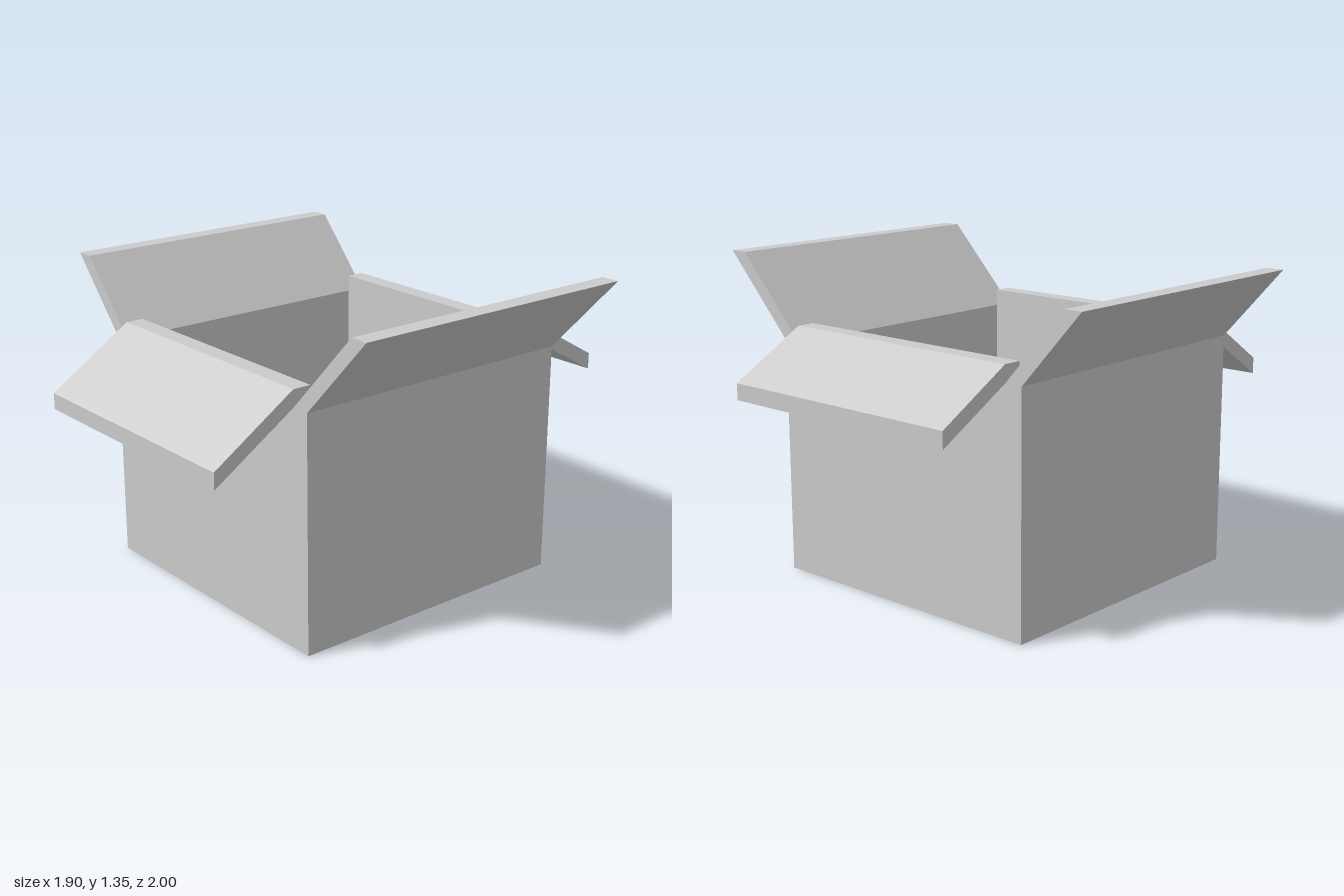
import * as THREE from 'three';

const material = new THREE.MeshStandardMaterial({ color: 0xcccccc, flatShading: true });

// Outer and inner limits of the box
const X0 = -0.68, X1 = 0.62, Z0 = -0.67, Z1 = 0.635;
const T = 0.08, H = 1;

const outline = (points) => points.map(([x, y]) => new THREE.Vector2(x, y));
const rect = (x0, y0, x1, y1) => outline([[x0, y0], [x1, y0], [x1, y1], [x0, y1]]);
const extrude = (shape, depth) => new THREE.ExtrudeGeometry(shape, { depth, bevelEnabled: false });

export function createModel() {
  const model = new THREE.Group();
  const add = (name, geometry) => {
    const mesh = new THREE.Mesh(geometry, material);
    mesh.name = name;
    model.add(mesh);
  };

  // Four walls: a rectangular ring extruded upwards
  const ring = new THREE.Shape(rect(X0, -Z1, X1, -Z0));
  ring.holes.push(new THREE.Path(rect(X0 + T, -Z1 + T, X1 - T, -Z0 - T)));
  add('walls', extrude(ring, H).rotateX(-Math.PI / 2));

  // Floor closing the ring
  const floor = new THREE.BoxGeometry(X1 - X0 - 2 * T, T, Z1 - Z0 - 2 * T);
  add('floor', floor.translate((X0 + X1) / 2, T / 2, (Z0 + Z1) / 2));

  // Side flaps: slanted profiles running the full depth, opening upwards
  const sideFlap = (name, x, tipX, tipY) => {
    const shape = new THREE.Shape(outline([[x, H], [x + T, H], [tipX + T, tipY], [tipX, tipY]]));
    add(name, extrude(shape, Z1 - Z0).translate(0, 0, Z0));
  };
  sideFlap('leftFlap', X1 - T, 0.87, 1.347);
  sideFlap('rightFlap', X0, -0.955, 1.307);

  // Front and back flaps: a raised hinge strip, then a panel drooping outwards
  const endFlap = (name, inner, outer, tip, tipY) => {
    const top = H + 0.072;
    const shape = new THREE.Shape(outline([
      [inner, H], [outer, H], [tip, tipY], [tip, tipY + 0.07], [outer, top], [inner, top],
    ]));
    const geometry = extrude(shape, X1 - X0 - 2 * T);
    add(name, geometry.rotateY(-Math.PI / 2).translate(X1 - T, 0, 0));
  };
  endFlap('frontFlap', Z1 - T, Z1, 1, 0.765);
  endFlap('backFlap', Z0 + T, Z0, -1, 0.815);

  return model;
}
